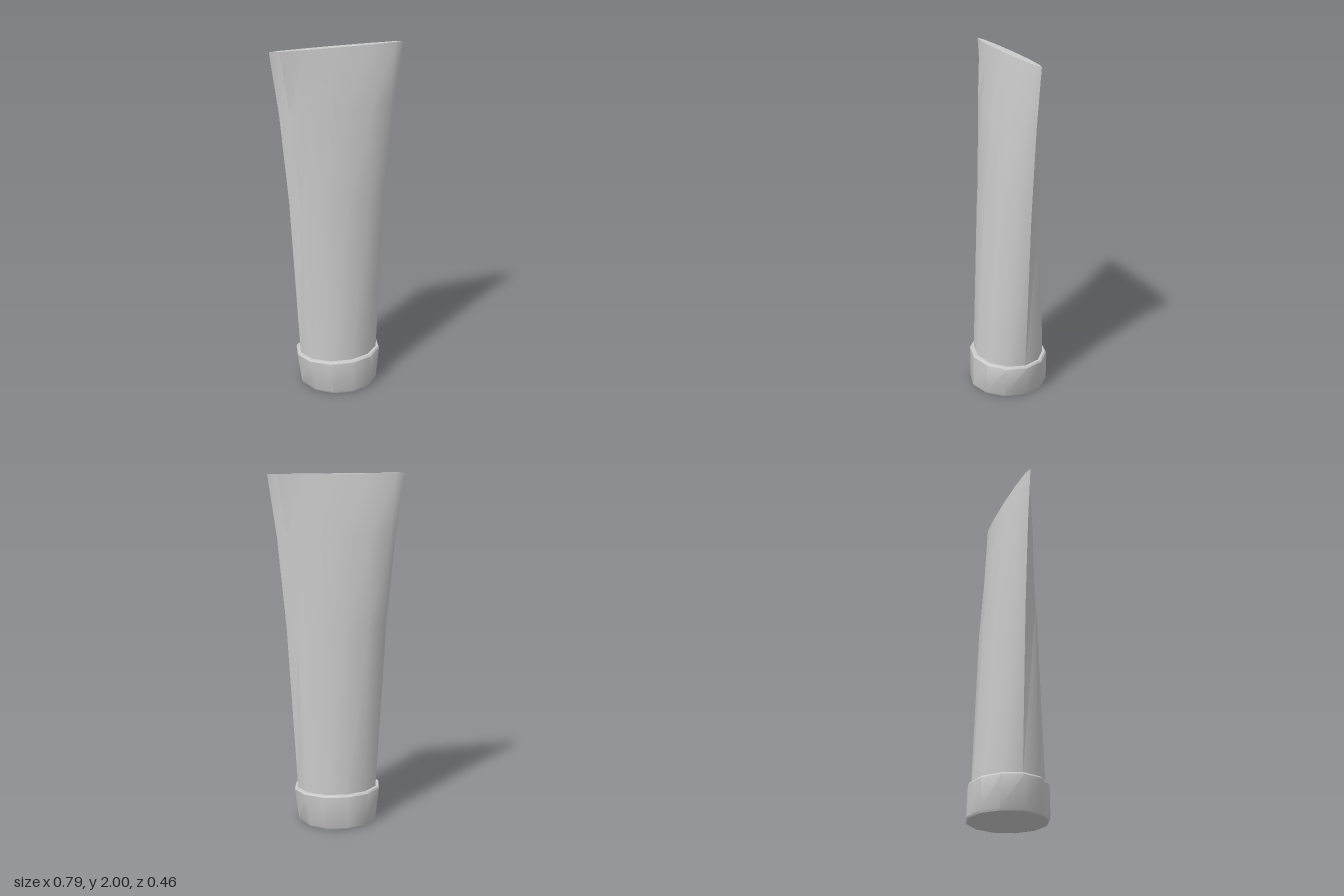
import * as THREE from 'three';
import { toCreasedNormals } from 'three/addons/utils/BufferGeometryUtils.js';

const SIDES = 12;

// Closed solid lofted through elliptical rings: [y, half width, half depth]
function loft(rings) {
  const positions = [];
  const index = [];
  for (const [y, w, d] of rings) {
    for (let i = 0; i < SIDES; i++) {
      const a = (i / SIDES) * Math.PI * 2;
      positions.push(w * Math.sin(a), y, d * Math.cos(a));
    }
  }
  const top = rings.length - 1;
  const bottomCentre = rings.length * SIDES;
  const topCentre = bottomCentre + 1;
  positions.push(0, rings[0][0], 0, 0, rings[top][0], 0);

  for (let i = 0; i < SIDES; i++) {
    const k = (i + 1) % SIDES;
    for (let j = 0; j < top; j++) {
      const a = j * SIDES + i, b = j * SIDES + k;
      index.push(a, b, b + SIDES, a, b + SIDES, a + SIDES);
    }
    index.push(bottomCentre, k, i);
    index.push(topCentre, top * SIDES + i, top * SIDES + k);
  }
  const geometry = new THREE.BufferGeometry();
  geometry.setAttribute('position', new THREE.Float32BufferAttribute(positions, 3));
  geometry.setIndex(index);
  return toCreasedNormals(geometry, 0.65);
}

export function createModel() {
  const group = new THREE.Group();
  group.name = 'squeezeTube';
  const material = new THREE.MeshStandardMaterial({ color: 0xcccccc });

  const add = (name, rings) => {
    const mesh = new THREE.Mesh(loft(rings), material);
    mesh.name = name;
    group.add(mesh);
  };

  // Screw cap the tube stands on, with softened rims
  add('cap', [
    [0, 0.224, 0.224],
    [0.01, 0.23, 0.23],
    [0.19, 0.256, 0.222],
    [0.2, 0.25, 0.212],
  ]);

  // Tube body, round at the cap and pinched to a flat wide seam at the top
  add('body', [
    [0.18, 0.234, 0.199],
    [1.15, 0.295, 0.145],
    [1.66, 0.345, 0.09],
    [2, 0.395, 0.026],
  ]);

  return group;
}
